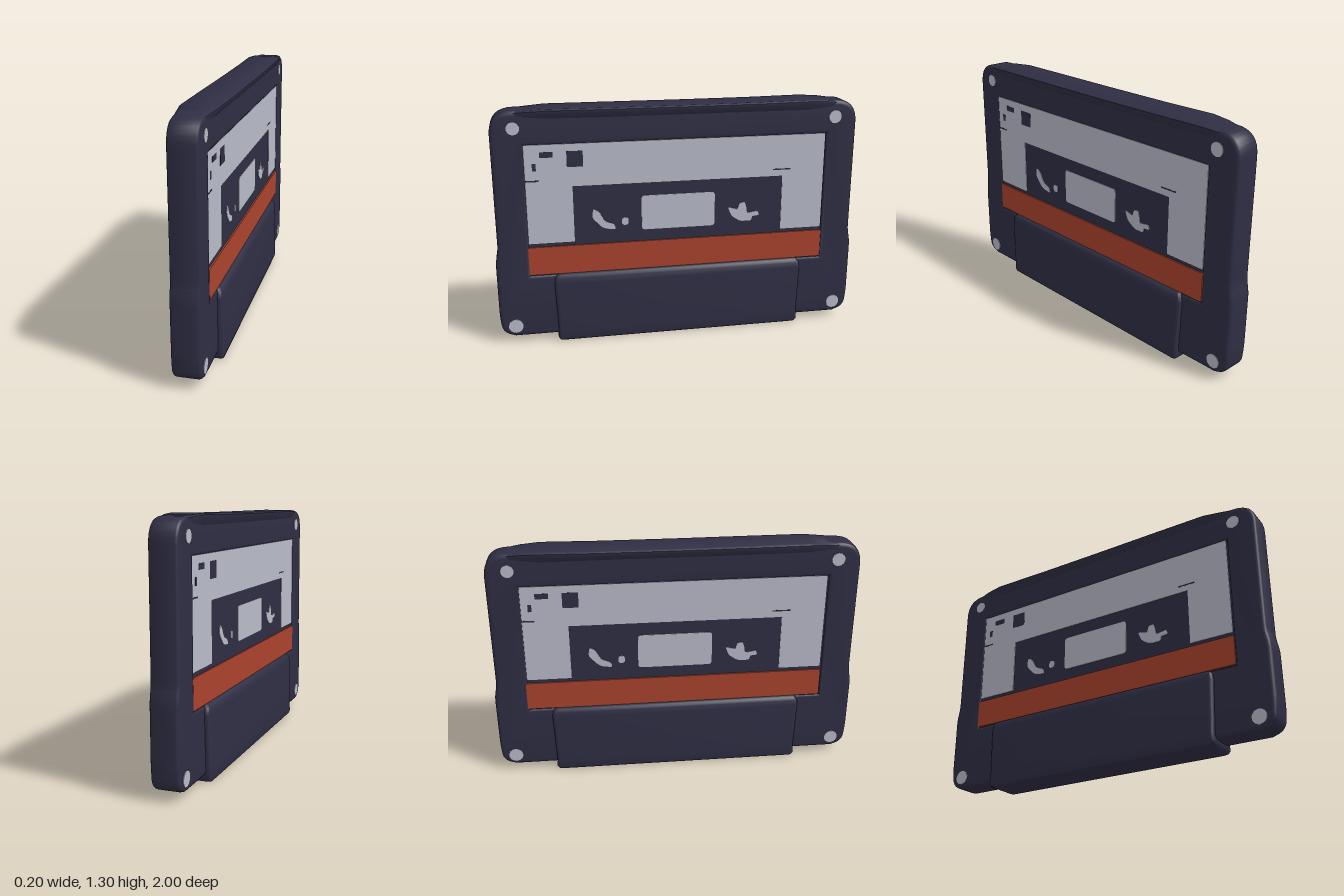
import * as THREE from 'three';
import { toCreasedNormals } from 'three/addons/utils/BufferGeometryUtils.js';

const mat = (name, color) => {
  const m = new THREE.MeshStandardMaterial({ color });
  m.name = name;
  return m;
};

// Polygon with rounded corners; each point is [x, y, radius]
function roundedShape(pts, Type = THREE.Shape) {
  const s = new Type();
  const v = pts.map(p => new THREE.Vector2(p[0], p[1]));
  pts.forEach((p, i) => {
    const c = v[i], a = v[(i + v.length - 1) % v.length], b = v[(i + 1) % v.length];
    const r = p[2] || 0;
    const start = c.clone().add(a.clone().sub(c).setLength(r));
    const end = c.clone().add(b.clone().sub(c).setLength(r));
    if (i === 0) s.moveTo(start.x, start.y); else s.lineTo(start.x, start.y);
    if (r) s.quadraticCurveTo(c.x, c.y, end.x, end.y);
  });
  s.closePath();
  return s;
}

const rect = (x0, x1, y0, y1, r = 0) => [[x0, y0, r], [x1, y0, r], [x1, y1, r], [x0, y1, r]];

// Skin over matching closed rings (counter-clockwise seen from the last ring), capped at both ends
function loft(rings) {
  const n = rings[0].length, pos = rings.flat(2), idx = [];
  for (let k = 0; k < rings.length - 1; k++) {
    for (let i = 0; i < n; i++) {
      const j = (i + 1) % n, a = k * n + i, b = k * n + j;
      idx.push(a, b, b + n, a, b + n, a + n);
    }
  }
  const last = (rings.length - 1) * n;
  for (let i = 1; i < n - 1; i++) idx.push(0, i + 1, i, last, last + i, last + i + 1);
  const g = new THREE.BufferGeometry();
  g.setAttribute('position', new THREE.Float32BufferAttribute(pos, 3));
  g.setIndex(idx);
  return toCreasedNormals(g, 0.7);
}

export function createModel() {
  const dark = mat('dark shell', 0x2f2e44);
  const pale = mat('pale label', 0xb9bbc9);
  const orange = mat('orange stripe', 0xaa432d);

  // Built facing +z with its length along x, then turned sideways
  const tape = new THREE.Group();
  tape.name = 'cassette';
  const add = (parent, name, geo, material) => {
    const m = new THREE.Mesh(geo, material);
    m.name = name;
    parent.add(m);
    return m;
  };

  // Shell frame with a shallow label recess
  const half = 0.073, bevel = 0.022;
  const outline = roundedShape([
    [-0.92, 0.035, 0], [0.92, 0.035, 0], [0.99, 0.06, 0.045], [1.0, 0.16, 0.03], [1.0, 0.47, 0.03],
    [0.985, 0.54, 0.03], [0.985, 1.29, 0.125], [-0.985, 1.29, 0.125], [-0.985, 0.54, 0.03],
    [-1.0, 0.47, 0.03], [-1.0, 0.16, 0.03], [-0.99, 0.06, 0.045],
  ]);
  outline.holes.push(roundedShape(rect(-0.815, 0.81, 0.39, 1.105).reverse(), THREE.Path));
  const frame = new THREE.ExtrudeGeometry(outline, {
    depth: 2 * (half - bevel), bevelThickness: bevel, bevelSize: bevel,
    bevelOffset: -bevel, bevelSegments: 4, curveSegments: 8,
  });
  frame.translate(0, 0, -(half - bevel));
  add(tape, 'shellFrame', toCreasedNormals(frame, 0.7), dark);

  // Recess floor shared by both sides
  const core = add(tape, 'recessFloor', new THREE.BoxGeometry(1.7, 0.78, 0.128), dark);
  core.position.set(0, 0.75, 0);

  // Thick head block along the bottom edge: [y, half length, half thickness]
  const blockRings = [
    [0, 0.665, 0.088], [0.006, 0.68, 0.098], [0.02, 0.688, 0.102], [0.06, 0.684, 0.102],
    [0.34, 0.695, 0.096], [0.37, 0.69, 0.093], [0.385, 0.68, 0.085], [0.392, 0.67, 0.07],
  ].map(([y, hx, hz]) =>
    roundedShape(rect(-hx, hx, -hz, hz, 0.02)).getPoints(4).slice(0, -1).map(p => [p.x, y, -p.y]));
  add(tape, 'headBlock', loft(blockRings), dark);

  // Flared lip on the top edge, fading out toward both ends: [x, half thickness, top]
  const lipRings = [
    [-0.88, 0.068, 1.284], [-0.8, 0.08, 1.29], [-0.7, 0.094, 1.296], [-0.4, 0.096, 1.295],
    [0, 0.096, 1.294], [0.4, 0.096, 1.295], [0.7, 0.097, 1.299], [0.8, 0.084, 1.294], [0.88, 0.068, 1.284],
  ].map(([x, w, top]) => {
    const side = [[0.06, 1.2], [0.072 * 0.6 + w * 0.4 - 0.008, 1.245], [w, top - 0.022], [w, top - 0.008], [w - 0.01, top]];
    const right = side.map(([z, y]) => [x, y, -z]);
    const left = side.map(([z, y]) => [x, y, z]).reverse();
    return [...right, ...left];
  });
  add(tape, 'topLip', loft(lipRings), dark);

  // Flat plate whose back sits at depth z
  const plate = (parent, name, pts, z, material, depth = 0.004) => {
    const g = new THREE.ExtrudeGeometry(roundedShape(pts), { depth, bevelEnabled: false, curveSegments: 5 });
    g.translate(0, 0, z);
    return add(parent, name, g, material);
  };

  for (const [name, turn] of [['leftFace', 0], ['rightFace', Math.PI]]) {
    const face = new THREE.Group();
    face.name = name;
    face.rotation.y = turn;
    tape.add(face);

    // Label with a notch for the dark window panel
    plate(face, 'label', [
      [-0.82, 0.57], [-0.575, 0.57], [-0.575, 0.88], [0.575, 0.88], [0.575, 0.57],
      [0.81, 0.57], [0.81, 1.11], [-0.82, 1.11],
    ], 0.063, pale);
    plate(face, 'stripe', rect(-0.825, 0.815, 0.392, 0.55, 0.008), 0.064, orange, 0.008);
    plate(face, 'window', rect(-0.21, 0.195, 0.615, 0.808, 0.02), 0.063, pale);

    // Reel highlights
    plate(face, 'reelCrescent', [
      [-0.47, 0.75, 0.015], [-0.48, 0.7, 0.02], [-0.42, 0.635, 0.025], [-0.35, 0.625, 0.015],
      [-0.36, 0.655, 0.01], [-0.41, 0.675, 0.015], [-0.44, 0.73, 0.01],
    ], 0.063, pale);
    plate(face, 'reelDot', rect(-0.318, -0.282, 0.648, 0.69, 0.015), 0.063, pale);
    plate(face, 'reelCrescent', [
      [0.27, 0.715, 0.01], [0.29, 0.665, 0.015], [0.34, 0.63, 0.02], [0.405, 0.63, 0.012], [0.41, 0.655, 0.005],
      [0.45, 0.66, 0.008], [0.44, 0.685, 0.008], [0.38, 0.675, 0.01], [0.375, 0.71, 0.008],
      [0.365, 0.74, 0.008], [0.335, 0.735, 0.008], [0.325, 0.7, 0.008],
    ], 0.063, pale);

    // Plain printed marks on the label
    for (const r of [
      [-0.82, -0.75, 0.912, 0.92], [0.52, 0.62, 0.914, 0.921],
      [-0.6, -0.515, 0.985, 1.07], [-0.74, -0.67, 1.04, 1.07], [-0.78, -0.76, 0.97, 1.01],
    ]) plate(face, 'printedMark', rect(...r, 0.003), 0.065, dark, 0.003);

    // Corner screws
    for (const [x, y, r] of [[-0.865, 1.2, 0.034], [0.86, 1.2, 0.036], [-0.915, 0.1, 0.04], [0.912, 0.1, 0.039]]) {
      const g = new THREE.CylinderGeometry(r, r, 0.006, 14);
      g.rotateX(Math.PI / 2);
      add(face, 'screw', g, pale).position.set(x, y, half);
    }
  }

  tape.rotation.y = Math.PI / 2;
  const model = new THREE.Group();
  model.name = 'cassetteTape';
  model.add(tape);
  return model;
}
